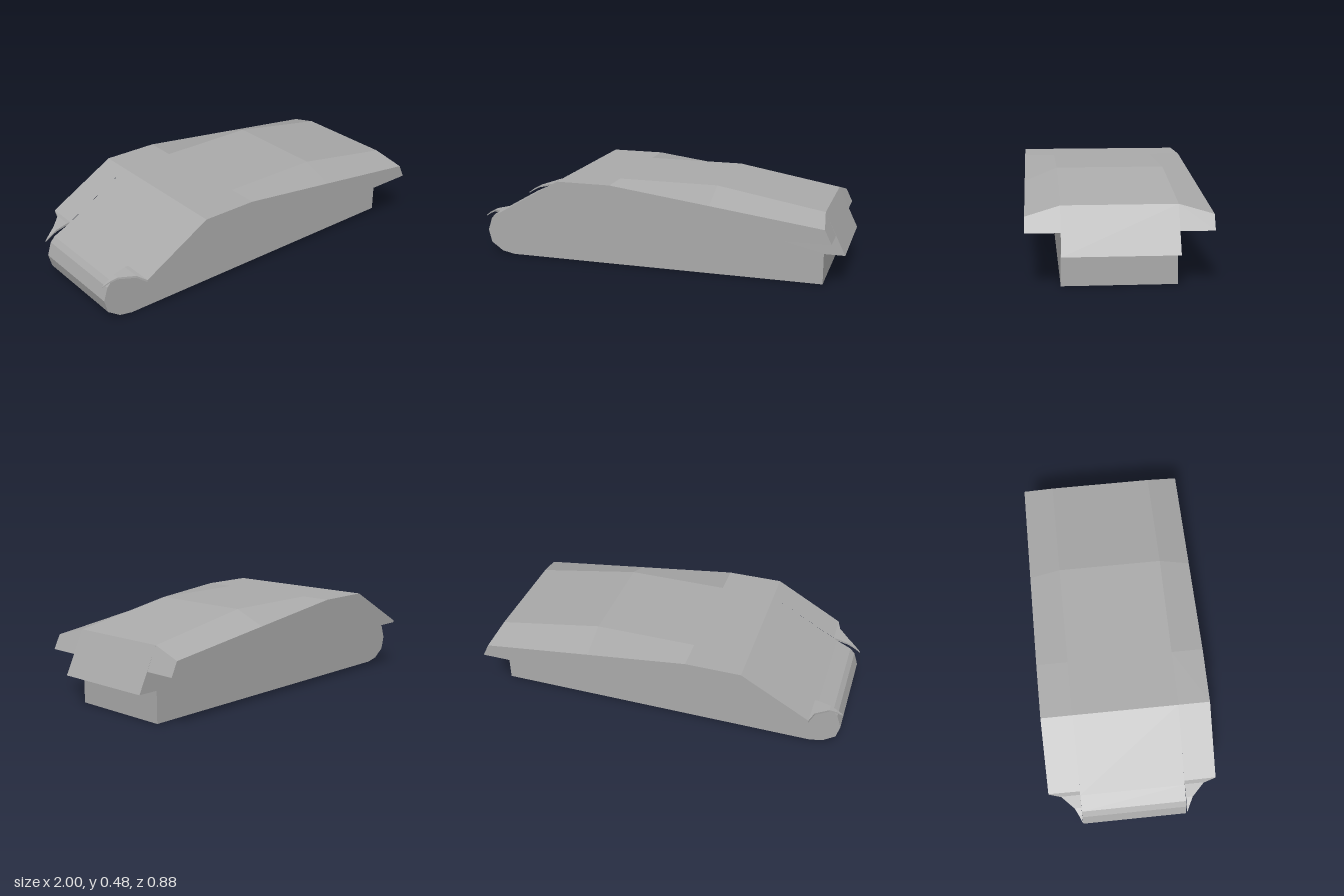
import * as THREE from 'three';

const HALF_HULL = 0.275;
const HALF_WIDTH = 0.44;

// Flat polygons, fanned from their first corner, each with one averaged normal
function facesToGeometry(faces) {
  const pos = [], nor = [];
  for (const face of faces) {
    const n = new THREE.Vector3();
    face.forEach((p, i) => n.add(p.clone().cross(face[(i + 1) % face.length])));
    n.normalize();
    for (let i = 1; i < face.length - 1; i++) {
      for (const p of [face[0], face[i], face[i + 1]]) {
        pos.push(p.x, p.y, p.z);
        nor.push(n.x, n.y, n.z);
      }
    }
  }
  const g = new THREE.BufferGeometry();
  g.setAttribute('position', new THREE.Float32BufferAttribute(pos, 3));
  g.setAttribute('normal', new THREE.Float32BufferAttribute(nor, 3));
  return g;
}

const v = (x, y, z) => new THREE.Vector3(x, y, z);
const mirror = faces => faces.map(f => f.map(p => v(p.x, p.y, -p.z)).reverse());

// Overhanging side: inner and outer outlines joined by walls
function sponsonFaces() {
  const inner = [[-0.866, 0.265], [0.946, 0.265], [0.89, 0.383], [0.33, 0.48],
    [-0.2, 0.48], [-0.49, 0.48], [-0.866, 0.266]].map(([x, y]) => v(x, y, HALF_HULL));
  const outer = [[-0.845, 0.265], [0.946, 0.265], [0.911, 0.337], [0.33, 0.412],
    [-0.2, 0.48], [-0.49, 0.48], [-0.845, 0.277]].map(([x, y]) => v(x, y, HALF_WIDTH));
  const faces = [outer];
  inner.forEach((p, i) => {
    const j = (i + 1) % inner.length;
    faces.push([p, inner[j], outer[j], outer[i]]);
  });
  return faces;
}

// Thin blade curling down and tapering towards the hull
function fenderFaces() {
  const stations = [ // x, top, bottom, outer z
    [-0.845, 0.277, 0.265, 0.44], [-0.865, 0.276, 0.265, 0.375],
    [-0.93, 0.26, 0.25, 0.31], [-0.965, 0.241, 0.233, 0.292], [-1, 0.216, 0.21, 0.276]];
  const loops = stations.map(([x, t, b, z]) =>
    [v(x, t, HALF_HULL), v(x, t, z), v(x, b, z), v(x, b, HALF_HULL)]);
  const faces = [loops[loops.length - 1].slice().reverse()];
  for (let i = 0; i < loops.length - 1; i++) {
    for (let k = 0; k < 4; k++) {
      const m = (k + 1) % 4;
      faces.push([loops[i][k], loops[i + 1][k], loops[i + 1][m], loops[i][m]]);
    }
  }
  return faces;
}

export function createModel() {
  const group = new THREE.Group();
  group.name = 'vehicleHull';
  const grey = new THREE.MeshStandardMaterial({ color: 0xaaaaaa });
  grey.name = 'grey';
  const add = (name, geometry) => {
    const mesh = new THREE.Mesh(geometry, grey);
    mesh.name = name;
    group.add(mesh);
  };

  // Central hull with rounded nose and stepped, slanted tail
  const profile = new THREE.Shape([
    [-0.84, 0], [0.89, 0], [0.89, 0.163], [0.997, 0.163], [0.89, 0.383],
    [0.33, 0.48], [-0.49, 0.48], [-0.866, 0.265], [-0.945, 0.227],
    [-0.97, 0.2], [-0.993, 0.13], [-0.975, 0.06], [-0.91, 0.014],
  ].map(([x, y]) => new THREE.Vector2(x, y)));
  const hull = new THREE.ExtrudeGeometry(profile, { depth: 2 * HALF_HULL, bevelEnabled: false });
  hull.translate(0, 0, -HALF_HULL);
  add('centralHull', hull);

  // Side overhangs and their curled fenders
  for (const [name, faces] of [['Sponson', sponsonFaces()], ['Fender', fenderFaces()]]) {
    add('front' + name, facesToGeometry(faces));
    add('back' + name, facesToGeometry(mirror(faces)));
  }
  return group;
}
